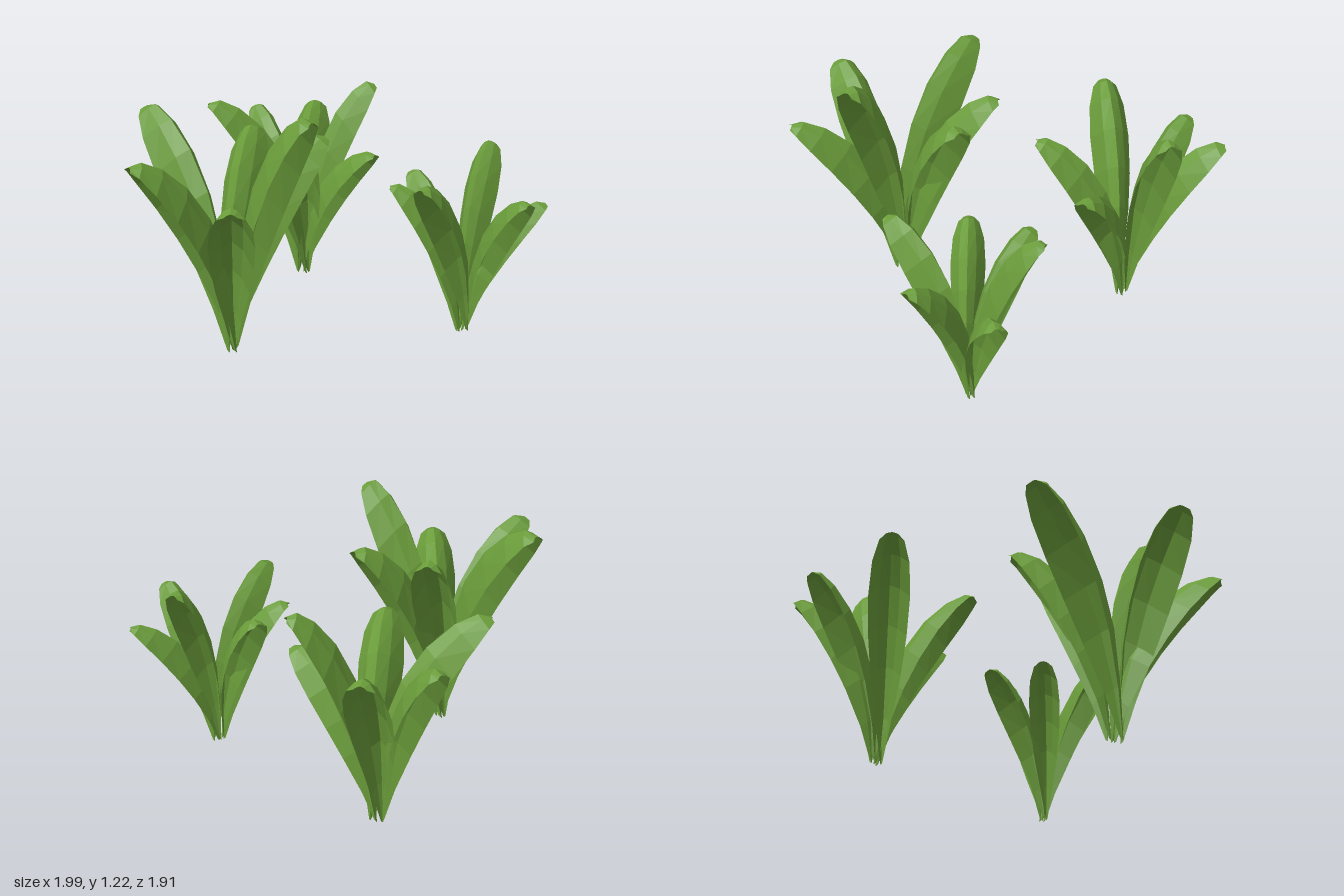
import * as THREE from 'three';

const leafGreen = new THREE.MeshStandardMaterial({ color: 0x6a9c3a, side: THREE.DoubleSide });
leafGreen.name = 'leaf green';

// Leaf stations: ridge reach, ridge height, edge reach, edge height, half width
const STATIONS = [
  [0.00, 0.015, 0.02, 0.025, 0.007],
  [0.03, 0.25, 0.12, 0.20, 0.042],
  [0.10, 0.50, 0.29, 0.41, 0.085],
  [0.24, 0.69, 0.46, 0.58, 0.108],
  [0.45, 0.85, 0.65, 0.74, 0.117],
  [0.68, 0.955, 0.83, 0.87, 0.104],
  [0.87, 1.00, 0.95, 0.95, 0.070],
  [0.98, 0.985, 1.00, 0.97, 0.034],
];

// Leaves of one plant: base x, z, tip x, z, tip height, width factor
const LEAVES = [
  [0.02, 0.03, -0.59, 0.03, 1.15, 0.97],
  [-0.03, 0.00, -0.29, -0.41, 1.03, 0.92],
  [-0.03, -0.02, 0.11, -0.515, 1.03, 1.02],
  [0.00, -0.025, 0.45, -0.105, 1.23, 1.0],
  [0.00, -0.01, 0.415, 0.35, 0.89, 0.92],
  [0.035, 0.00, -0.09, 0.52, 1.03, 1.03],
];

// Arched blade growing along +x: nearly flat in the middle, drooping at both edges
function leafGeometry(reach, height, widthFactor) {
  const across = [1, 0.5, 0, -0.5, -1];
  const positions = [];
  for (const [rx, ry, ex, ey, w] of STATIONS) {
    for (const s of across) {
      const drop = Math.abs(s) ** 1.7;
      positions.push(
        THREE.MathUtils.lerp(rx, ex, drop) * reach,
        THREE.MathUtils.lerp(ry, ey, drop) * height,
        s * w * widthFactor
      );
    }
  }
  const n = across.length;
  const index = [];
  for (let i = 0; i < STATIONS.length - 1; i++) {
    for (let j = 0; j < n - 1; j++) {
      const a = i * n + j, b = a + n;
      index.push(a, b, a + 1, b, b + 1, a + 1);
    }
  }
  const indexed = new THREE.BufferGeometry();
  indexed.setAttribute('position', new THREE.Float32BufferAttribute(positions, 3));
  indexed.setIndex(index);
  const faceted = indexed.toNonIndexed();
  faceted.computeVertexNormals();
  return faceted;
}

function createPlant() {
  const plant = new THREE.Group();
  LEAVES.forEach(([baseX, baseZ, tipX, tipZ, height, width], i) => {
    const dx = tipX - baseX, dz = tipZ - baseZ;
    const leaf = new THREE.Mesh(leafGeometry(Math.hypot(dx, dz), height, width), leafGreen);
    leaf.name = `leaf${i + 1}`;
    leaf.rotation.y = Math.atan2(-dz, dx);
    leaf.position.set(baseX, 0, baseZ);
    plant.add(leaf);
  });
  return plant;
}

export function createModel() {
  const model = new THREE.Group();
  model.name = 'leafyPlants';
  // Same plant at three sizes, each turned differently
  const plants = [
    ['frontPlant', 0.02, 0.42, 1, 0],
    ['backRightPlant', -0.55, -0.585, 0.87, 50],
    ['backLeftPlant', 0.605, -0.59, 0.75, 98],
  ];
  for (const [name, x, z, scale, turn] of plants) {
    const plant = createPlant();
    plant.name = name;
    plant.position.set(x, 0, z);
    plant.scale.setScalar(scale);
    plant.rotation.y = THREE.MathUtils.degToRad(turn);
    model.add(plant);
  }
  return model;
}
